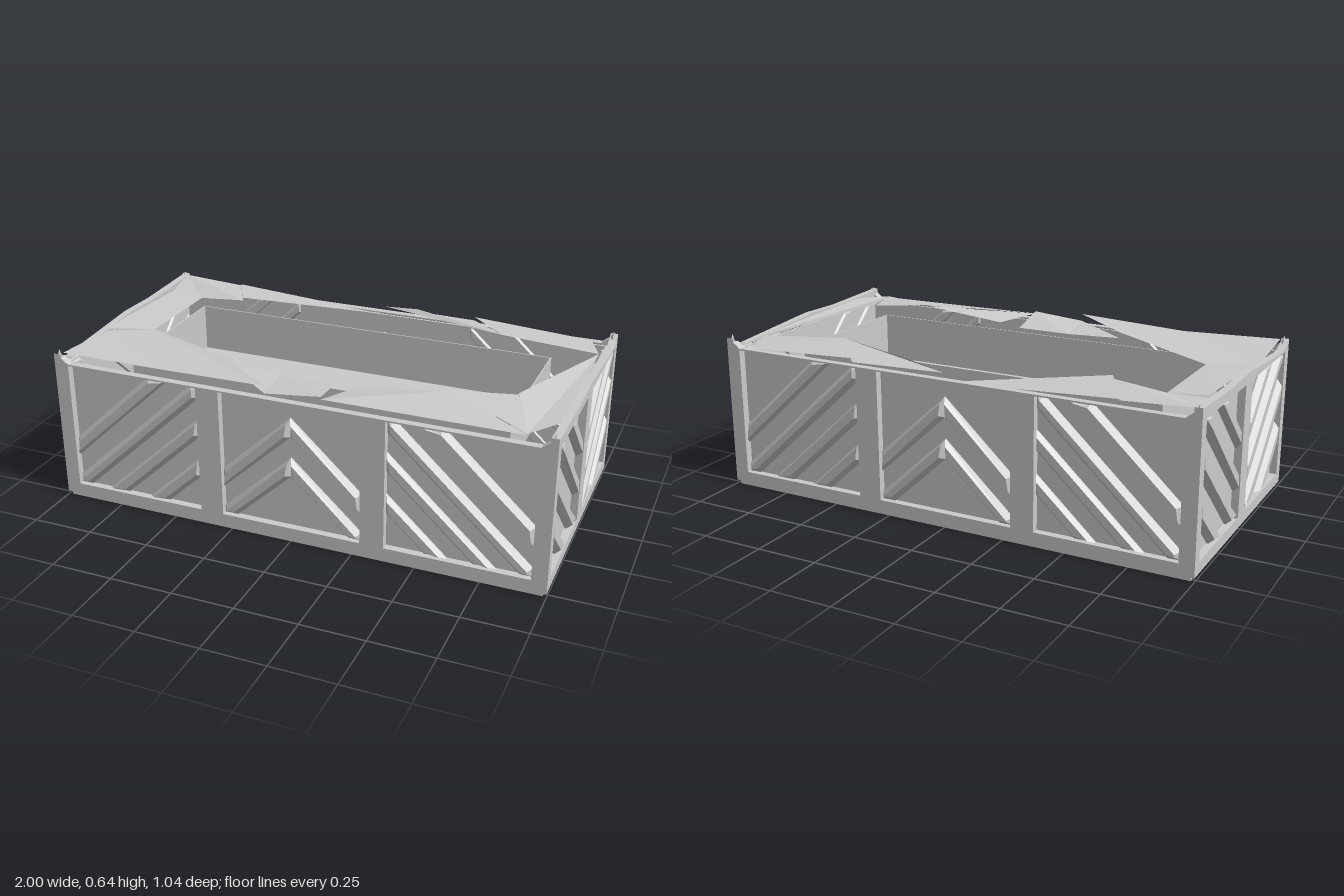
import * as THREE from 'three';

const HX = 1, HZ = 0.52, WALL = 0.03;
const LOW = 0.06, HIGH = 0.585, SLOPE = 0.92;
const mat = new THREE.MeshStandardMaterial({ color: 0xcccccc, flatShading: true, side: THREE.DoubleSide });

function add(parent, name, geometry) {
  const mesh = new THREE.Mesh(geometry, mat);
  mesh.name = name;
  parent.add(mesh);
  return mesh;
}

const shapeOf = (pts) => new THREE.Shape(pts.map(([x, y]) => new THREE.Vector2(x, y)));
const rect = (x0, x1, y0, y1) => [[x0, y0], [x1, y0], [x1, y1], [x0, y1]];

// rectangular tube standing on y = 0
function tube(hx, hz, wall, height) {
  const shape = shapeOf(rect(-hx, hx, -hz, hz));
  shape.holes.push(shapeOf(rect(wall - hx, hx - wall, wall - hz, hz - wall)));
  return new THREE.ExtrudeGeometry(shape, { depth: height, bevelEnabled: false }).rotateX(-Math.PI / 2);
}

// keep the part of a polygon where sign * p[axis] <= sign * limit
function clip(pts, axis, limit, sign) {
  const out = [];
  pts.forEach((a, i) => {
    const b = pts[(i + 1) % pts.length];
    const da = sign * (a[axis] - limit), db = sign * (b[axis] - limit);
    if (da <= 0) out.push(a);
    if (da * db < 0) {
      const t = da / (da - db);
      out.push([a[0] + (b[0] - a[0]) * t, a[1] + (b[1] - a[1]) * t]);
    }
  });
  return out;
}

// bevelled diagonal slats rising from x = low to x = high, flush with the frame
function addSlats(wall, low, high, offsets) {
  const dir = Math.sign(high - low), span = Math.abs(high - low), rise = SLOPE * span;
  for (const c of offsets) {
    let pts = [[0, c - 0.055], [span, c - 0.055 + rise], [span, c + 0.025 + rise], [0, c + 0.025]];
    pts = clip(clip(pts, 1, LOW, -1), 1, HIGH, 1).map(([x, y]) => [low + dir * x, y]);
    const geo = new THREE.ExtrudeGeometry(shapeOf(pts), {
      depth: 0.004, bevelThickness: 0.022, bevelSize: 0.018, bevelOffset: -0.018, bevelSegments: 1,
    });
    add(wall, 'slat', geo).position.z = 0.003;
  }
}

// one framed wall with recessed openings, outer face at local z = WALL
function makeWall(name, half, top, openings) {
  const wall = new THREE.Group();
  wall.name = name;
  const shape = shapeOf([[-half, 0.015], [half, 0.015], ...top]);
  for (const [x0, x1] of openings) shape.holes.push(shapeOf(rect(x0, x1, LOW, HIGH - 0.004)));
  add(wall, 'frame', new THREE.ExtrudeGeometry(shape, { depth: WALL, bevelEnabled: false }));
  return wall;
}

// torn, tilted flaps lying between the outer walls and the tray
function tornFlaps() {
  const flaps = [
    // back edge
    [[-0.7, 0.615, -0.51], [-0.59, 0.633, -0.31], [0, 0.575, -0.5]],
    [[0, 0.61, -0.5], [0.16, 0.63, -0.47], [0.57, 0.63, -0.32], [0.4, 0.6, -0.51]],
    [[0.4, 0.615, -0.51], [0.57, 0.63, -0.32], [0.9, 0.59, -0.5]],
    [[0.57, 0.63, -0.32], [0.96, 0.6, -0.34], [0.9, 0.59, -0.5]],
    [[-0.98, 0.625, -0.51], [-0.95, 0.6, -0.31], [-0.8, 0.6, -0.32], [-0.59, 0.62, -0.31], [-0.7, 0.61, -0.51]],
    // left end
    [[0.96, 0.6, -0.34], [0.78, 0.635, 0.22], [0.88, 0.61, 0.48], [0.98, 0.615, 0.35]],
    // front edge
    [[0.88, 0.61, 0.48], [0.78, 0.63, 0.22], [0.55, 0.64, 0.3]],
    [[0.55, 0.64, 0.3], [0.88, 0.605, 0.48], [0.12, 0.61, 0.49]],
    [[0.55, 0.635, 0.3], [0.2, 0.6, 0.31], [0.12, 0.61, 0.49]],
    [[-0.13, 0.59, 0.3], [0.1, 0.59, 0.3], [0.12, 0.62, 0.49], [-0.1, 0.6, 0.5], [-0.36, 0.6, 0.3]],
    [[-0.8, 0.6, 0.09], [-0.57, 0.615, 0.48], [-0.1, 0.63, 0.5], [-0.36, 0.625, 0.3]],
    [[-0.98, 0.6, 0.18], [-0.8, 0.6, 0.09], [-0.57, 0.615, 0.48], [-0.97, 0.625, 0.5]],
    // right end
    [[-0.95, 0.61, -0.31], [-0.8, 0.6, -0.32], [-0.8, 0.6, 0.09], [-0.98, 0.61, 0.18]],
  ];
  const pos = [];
  for (const f of flaps)
    for (let i = 1; i < f.length - 1; i++) pos.push(...f[0], ...f[i], ...f[i + 1]);
  const geo = new THREE.BufferGeometry();
  geo.setAttribute('position', new THREE.Float32BufferAttribute(pos, 3));
  geo.computeVertexNormals();
  return geo;
}

export function createModel() {
  const model = new THREE.Group();
  model.name = 'planterBox';

  // base plate, hollow shell and the sunken tray
  const bx = HX - WALL, bz = HZ - WALL;
  add(model, 'basePlate', new THREE.BoxGeometry(1.97, 0.02, 1.03)).position.y = 0.01;
  add(model, 'shell', tube(bx, bz, 0.01, 0.565)).position.y = 0.015;
  add(model, 'trayFloor', new THREE.BoxGeometry(1.56, 0.01, 0.61)).position.y = 0.37;
  add(model, 'trayWalls', tube(0.78, 0.305, 0.005, 0.2)).position.y = 0.37;

  // long walls: two striped panels around a chevron panel
  for (const side of [1, -1]) {
    const wall = makeWall(side > 0 ? 'frontWall' : 'backWall', bx,
      [[bx, 0.61], [0.94, 0.587], [-0.94, 0.587], [-bx, 0.61]],
      [[-0.94, -0.38], [-0.285, 0.285], [0.38, 0.94]]);
    for (const m of [1, -1]) {
      addSlats(wall, m * 0.94, m * 0.38, [0.24, 0.07, -0.09, -0.26]);
      addSlats(wall, m * 0.285, 0, [0.23, 0.065]);
    }
    wall.position.z = side * bz;
    wall.rotation.y = side > 0 ? 0 : Math.PI;
    model.add(wall);
  }

  // end walls: two mirrored striped panels
  const endTop = [[HZ, 0.625], [0.5, 0.61], [0.44, 0.588], [0.25, 0.602], [0, 0.62],
    [-0.2, 0.615], [-0.5, 0.625], [-HZ, 0.63]];
  for (const side of [1, -1]) {
    const wall = makeWall(side > 0 ? 'leftWall' : 'rightWall', HZ, endTop,
      [[-0.475, -0.04], [0.04, 0.475]]);
    for (const m of [1, -1]) addSlats(wall, m * 0.04, m * 0.475, [0.39, 0.22, 0.04, -0.14]);
    wall.position.x = side * bx;
    wall.rotation.y = side * Math.PI / 2;
    model.add(wall);
  }

  // pointed corner tips
  for (const sx of [1, -1]) for (const sz of [1, -1]) {
    const tip = add(model, 'cornerTip', new THREE.ConeGeometry(0.016, 0.04, 4));
    tip.position.set(sx * 0.984, 0.62, sz * 0.504);
  }

  add(model, 'tornFlaps', tornFlaps());
  return model;
}
